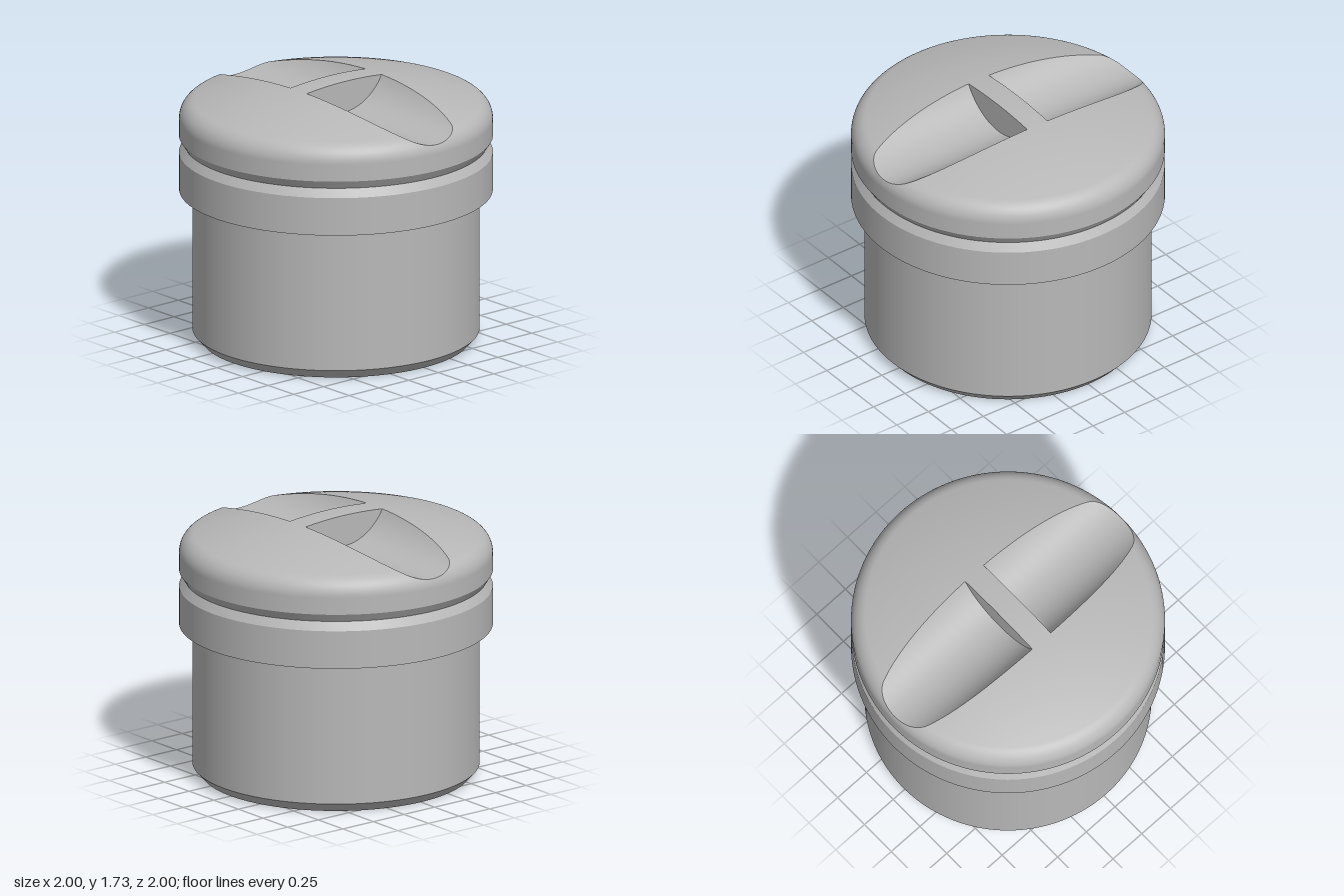
import * as THREE from 'three';

// Domed top: sphere blended into the side by a fillet
const TOP = 1.725, SPHERE = 3.07, FILLET = 0.13, TANGENT_R = 0.908;
const PHI0 = Math.asin(TANGENT_R / SPHERE);
const domeY = (r) => TOP - SPHERE + Math.sqrt(SPHERE * SPHERE - r * r);
const FILLET_Y = domeY(TANGENT_R) - FILLET * Math.cos(PHI0);

// Finger grooves: a horizontal cylinder along x, interrupted by a central rib
const GROOVE_R = 0.356, GROOVE_Y = 1.876, RIB = 0.08;
const PHI1 = Math.acos((GROOVE_Y - GROOVE_R - FILLET_Y) / FILLET);
const grooveY = (z) => GROOVE_Y - Math.sqrt(GROOVE_R * GROOVE_R - z * z);
const grooveHalfWidth = (y) => Math.sqrt(Math.max(0, GROOVE_R ** 2 - (GROOVE_Y - y) ** 2));

// Surface from a rule over a unit square; it faces du x dv
function patch(nu, nv, rule) {
  const pos = [], index = [];
  for (let j = 0; j <= nv; j++) for (let i = 0; i <= nu; i++) pos.push(...rule(i / nu, j / nv));
  for (let j = 0; j < nv; j++) for (let i = 0; i < nu; i++) {
    const a = j * (nu + 1) + i, d = a + nu + 1;
    index.push(a, a + 1, d + 1, a, d + 1, d);
  }
  const g = new THREE.BufferGeometry();
  g.setAttribute('position', new THREE.Float32BufferAttribute(pos, 3));
  g.setIndex(index);
  g.computeVertexNormals();
  return g;
}

export function createModel() {
  const model = new THREE.Group();
  model.name = 'plug';
  const grey = new THREE.MeshStandardMaterial({ color: 0xb8b8b8 });
  grey.name = 'grey';
  const add = (name, geometry, turn = 0) => {
    const mesh = new THREE.Mesh(geometry, grey);
    mesh.name = name;
    mesh.rotation.y = turn;
    model.add(mesh);
  };

  // Hollow body: one band per straight profile segment keeps the edges sharp
  const profile = [
    ['ceiling', 0, 1.35], ['bore', 0.8, 1.35], ['bottomRim', 0.8, 0],
    ['bottomChamfer', 0.86, 0], ['barrel', 0.915, 0.062], ['collarUnderside', 0.915, 0.99],
    ['collar', 1, 0.99], ['notchLower', 1, 1.24], ['notchUpper', 0.965, 1.295],
    ['capSide', 1, 1.35], ['end', 1, FILLET_Y],
  ];
  for (let i = 0; i < profile.length - 1; i++) {
    const pts = [profile[i], profile[i + 1]].map(([, r, y]) => new THREE.Vector2(r, y));
    add(profile[i][0], new THREE.LatheGeometry(pts, 192));
  }

  // Rings of the cap top, from the rib corner out to the end of the groove
  let r0 = 0.32;
  for (let k = 0; k < 30; k++) r0 = Math.hypot(RIB, grooveHalfWidth(domeY(r0)));
  const rings = [];
  const addRing = (r, y) => {
    const z = grooveHalfWidth(y);
    rings.push({ r, y, z, x: Math.sqrt(r * r - z * z) });
  };
  for (let i = 0; i < 30; i++) {
    const r = r0 + (TANGENT_R - r0) * (i / 30) ** 1.5;
    addRing(r, domeY(r));
  }
  const filletRing = (phi) =>
    addRing(1 - FILLET + FILLET * Math.sin(phi), FILLET_Y + FILLET * Math.cos(phi));
  for (let i = 0; i <= 24; i++) filletRing(PHI1 - (PHI1 - PHI0) * (1 - i / 24) ** 2);
  const last = rings.length - 1;
  rings[last].z = 0;
  rings[last].x = rings[last].r;
  const grooveRings = rings.slice();
  // Below the groove the fillet is a full ring
  for (let i = 1; i <= 8; i++) {
    filletRing(PHI1 + (Math.PI / 2 - PHI1) * i / 8);
    const ring = rings[rings.length - 1];
    ring.z = 0;
    ring.x = ring.r;
  }

  // Cap top beside the grooves, front and back halves
  const n = rings.length - 1;
  const half = patch(96, n, (u, v) => {
    const { r, y, x, z } = rings[Math.round(v * n)];
    const start = Math.atan2(z, x);
    const a = start + (Math.PI - 2 * start) * u;
    return [r * Math.cos(a), y, r * Math.sin(a)];
  });
  add('capTopFront', half);
  add('capTopBack', half, Math.PI);

  // Rib top between the grooves
  add('ribTop', patch(32, 96, (u, v) => {
    const start = Math.atan2(rings[0].z, RIB);
    const a = start + (Math.PI - 2 * start) * (1 - v);
    const x = r0 * Math.cos(a);
    const z = r0 * Math.sin(a) * (2 * u - 1);
    return [x, domeY(Math.hypot(x, z)), z];
  }));

  // Groove floors share their edge points with the cap top
  const m = grooveRings.length - 1;
  const floor = patch(2 * m, 24, (u, v) => {
    const k = Math.round(u * 2 * m) - m;
    const ring = grooveRings[m - Math.abs(k)];
    const z = Math.sign(k) * ring.z;
    return [RIB + (ring.x - RIB) * v, grooveY(z), z];
  });
  add('leftGroove', floor);
  add('rightGroove', floor, Math.PI);

  // Flat rib walls closing the inner ends of the grooves
  const wall = patch(1, 64, (u, v) => {
    const z = rings[0].z * (2 * v - 1);
    const low = grooveY(z);
    return [RIB, low + (domeY(Math.hypot(RIB, z)) - low) * u, z];
  });
  add('leftRibWall', wall);
  add('rightRibWall', wall, Math.PI);

  return model;
}
